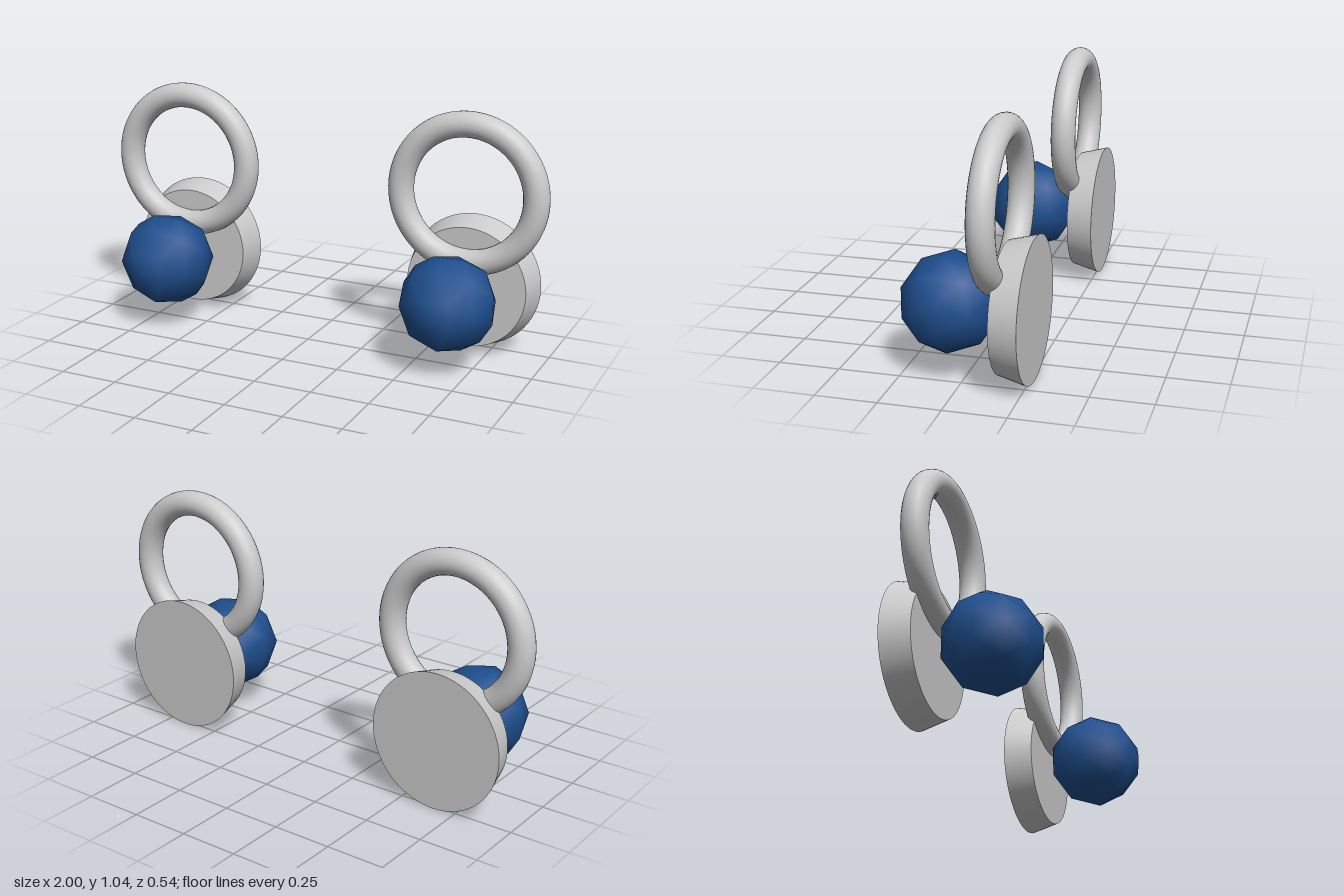
import * as THREE from 'three';

const metal = new THREE.MeshStandardMaterial({ color: 0xcccccc });
const blue = new THREE.MeshStandardMaterial({ color: 0x1f4f8f });

function addPart(group, name, geometry, material, y, z) {
  const mesh = new THREE.Mesh(geometry, material);
  mesh.name = name;
  mesh.position.set(0, y, z);
  group.add(mesh);
}

function createUnit(name) {
  const unit = new THREE.Group();
  unit.name = name;

  // Tapered round base, wide face to the back
  const base = new THREE.CylinderGeometry(0.26, 0.29, 0.116, 64).rotateX(Math.PI / 2);
  addPart(unit, 'base', base, metal, 0.29, -0.21);

  // Upright ring, partly sunk into the base
  addPart(unit, 'ring', new THREE.TorusGeometry(0.291, 0.054, 24, 72), metal, 0.698, -0.137);

  // Faceted ball in front: subdivided octahedron with a corner facing forward
  const ball = new THREE.OctahedronGeometry(0.202, 2).rotateZ(Math.PI / 4);
  addPart(unit, 'ball', ball, blue, 0.292, 0.066);

  return unit;
}

export function createModel() {
  const model = new THREE.Group();
  model.name = 'ringPair';
  for (const side of [-1, 1]) {
    const unit = createUnit(side > 0 ? 'leftUnit' : 'rightUnit');
    unit.position.x = side * 0.655;
    model.add(unit);
  }
  return model;
}
